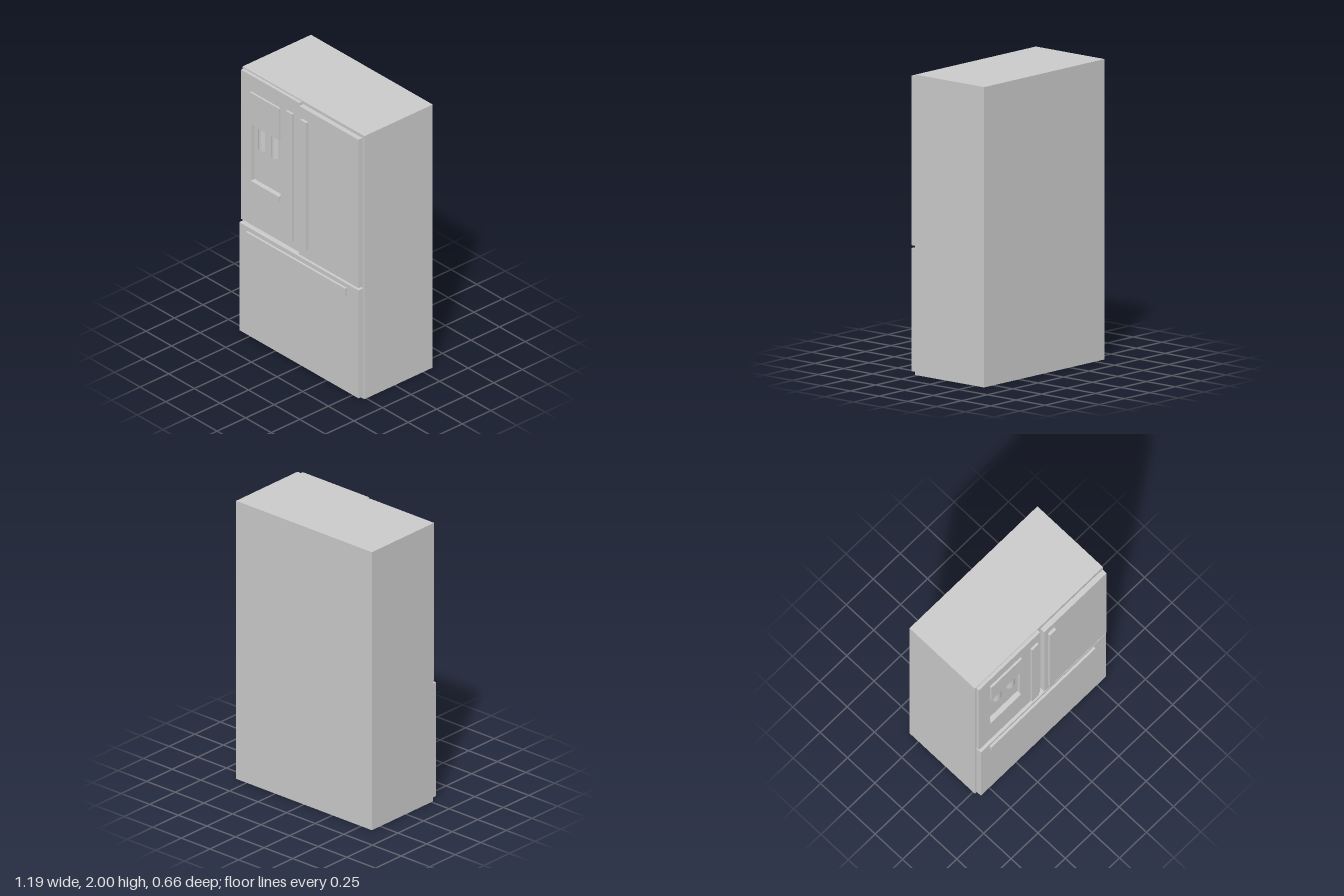
import * as THREE from 'three';

export function createModel() {
  const model = new THREE.Group();
  const material = new THREE.MeshStandardMaterial({ color: 0xcccccc });

  const add = (name, geometry) => {
    const mesh = new THREE.Mesh(geometry, material);
    mesh.name = name;
    model.add(mesh);
    return mesh;
  };
  // Box given by its limits on each axis
  const box = (name, x0, x1, y0, y1, z0, z1) => {
    const mesh = add(name, new THREE.BoxGeometry(x1 - x0, y1 - y0, z1 - z0));
    mesh.position.set((x0 + x1) / 2, (y0 + y1) / 2, (z0 + z1) / 2);
    return mesh;
  };
  const rectangle = (Type, x0, x1, y0, y1) => new Type([
    new THREE.Vector2(x0, y0), new THREE.Vector2(x1, y0),
    new THREE.Vector2(x1, y1), new THREE.Vector2(x0, y1),
  ]);

  // Cabinet, plain door and freezer drawer
  box('cabinet', -0.595, 0.592, 0, 2, -0.332, 0.267);
  box('plainDoor', 0.005, 0.582, 0.857, 1.985, 0.275, 0.31);
  box('plainDoorHinge', 0.03, 0.56, 0.88, 1.96, 0.267, 0.275);
  box('freezerDrawer', -0.582, 0.58, 0.018, 0.838, 0.267, 0.308);

  // Dispenser door with the recess cut through its panel
  const door = rectangle(THREE.Shape, -0.582, -0.015, 0.857, 1.99);
  door.holes.push(rectangle(THREE.Path, -0.48, -0.2, 1.18, 1.65));
  add('dispenserDoor', new THREE.ExtrudeGeometry(door, { depth: 0.024, bevelEnabled: false }))
    .position.z = 0.267;

  // Dispenser control panel and drip tray
  box('controlPanel', -0.482, -0.197, 1.63, 1.87, 0.268, 0.306);
  box('dripTray', -0.478, -0.203, 1.155, 1.198, 0.268, 0.303);

  // Rounded dispenser paddles
  for (const x of [-0.395, -0.27]) {
    const paddle = add('dispenserPaddle',
      new THREE.CylinderGeometry(0.035, 0.035, 0.17, 24, 1, false, -Math.PI / 2, Math.PI));
    paddle.scale.z = 0.8;
    paddle.position.set(x, 1.545, 0.268);
  }

  // Door handles, the first held on small standoffs
  box('dispenserDoorHandle', -0.117, -0.055, 0.927, 1.897, 0.303, 0.319);
  for (const y of [1.0, 1.82]) {
    box('handleStandoff', -0.1, -0.072, y - 0.02, y + 0.02, 0.289, 0.304);
  }
  box('plainDoorHandle', 0.037, 0.095, 0.932, 1.902, 0.31, 0.331);

  // Drawer handle
  box('drawerHandle', -0.5, 0.467, 0.747, 0.808, 0.307, 0.325);

  return model;
}
